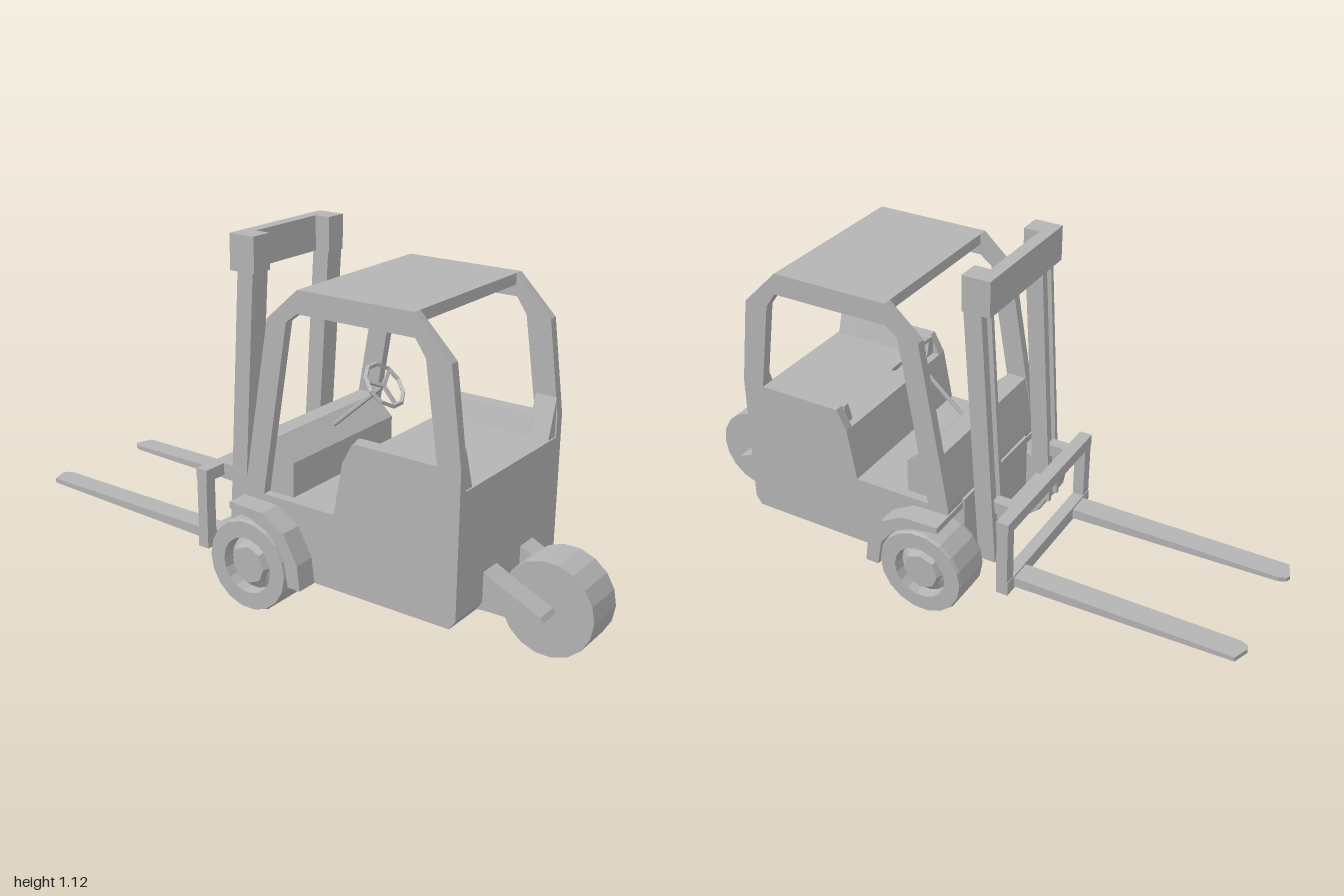
import * as THREE from 'three';

const grey = new THREE.MeshStandardMaterial({ color: 0xb4b4b4 });
grey.name = 'plain grey';
grey.flatShading = true;

const toShape = (pts) => new THREE.Shape(pts.map(([a, b]) => new THREE.Vector2(a, b)));

export function createModel() {
  const model = new THREE.Group();
  model.name = 'forklift';

  const add = (name, geometry, parent = model) => {
    const mesh = new THREE.Mesh(geometry, grey);
    mesh.name = name;
    parent.add(mesh);
    return mesh;
  };
  // box given by its limits
  const box = (name, x0, x1, y0, y1, z0, z1, parent) => {
    const g = new THREE.BoxGeometry(x1 - x0, y1 - y0, z1 - z0);
    g.translate((x0 + x1) / 2, (y0 + y1) / 2, (z0 + z1) / 2);
    return add(name, g, parent);
  };
  // side profile of (z, y) points, extruded from x0 to x1
  const side = (name, pts, x0, x1, hole, parent) => {
    const s = toShape(pts);
    if (hole) s.holes.push(toShape(hole));
    const g = new THREE.ExtrudeGeometry(s, { depth: x1 - x0, bevelEnabled: false });
    g.rotateY(-Math.PI / 2).translate(x1, 0, 0);
    return add(name, g, parent);
  };
  // same, on both sides
  const sides = (name, pts, x0, x1, hole, parent) => {
    side(name + 'Left', pts, x0, x1, hole, parent);
    side(name + 'Right', pts, -x1, -x0, hole, parent);
  };

  // wheel arch and lower edge shared by the hull and the cab sides
  const arch = [[-0.06, 0.34], [0.05, 0.325], [0.12, 0.285], [0.165, 0.21], [0.18, 0.12], [0.67, 0.12], [0.69, 0.15]];

  // hull: rear deck, floor and dashboard in one profile
  side('hull', [...arch, [0.69, 0.53], [0.30, 0.53], [0.27, 0.36], [0.10, 0.36],
    [0.10, 0.47], [0.03, 0.535], [-0.03, 0.535], [-0.062, 0.36]], -0.26, 0.26);
  box('chassis', -0.205, 0.205, 0.12, 0.35, -0.07, 0.25);

  // cab sides with the door opening
  sides('cabSide', [...arch, [0.69, 0.6], [0.65, 0.89], [0.53, 1.01], [0.14, 1.01], [0.03, 0.91], [-0.062, 0.36]],
    0.26, 0.29,
    [[0.615, 0.595], [0.57, 0.89], [0.535, 0.94], [0.14, 0.94], [0.10, 0.91], [0.01, 0.36], [0.27, 0.36], [0.30, 0.53], [0.335, 0.595]]);
  box('roof', -0.26, 0.26, 0.975, 1.01, 0.14, 0.53);

  // sloping inner sills beside the deck and at the rear pillars
  for (const s of [1, -1]) {
    const sill = (name, pts, z0, z1) => {
      const g = new THREE.ExtrudeGeometry(toShape(pts.map(([x, y]) => [s * x, y])), { depth: z1 - z0, bevelEnabled: false });
      add(name, g.translate(0, 0, z0));
    };
    sill('deckSill', [[0.22, 0.53], [0.26, 0.53], [0.26, 0.595], [0.24, 0.595]], 0.325, 0.62);
    sill('pillarSill', [[0.22, 0.53], [0.26, 0.53], [0.26, 0.655]], 0.615, 0.685);
  }

  // fenders over the load wheels
  sides('fender', [[-0.065, 0.34], [-0.065, 0.318], [0.02, 0.305], [0.09, 0.275], [0.14, 0.21], [0.155, 0.12],
    [0.2, 0.12], [0.19, 0.2], [0.14, 0.29], [0.06, 0.335]], 0.2, 0.362);

  // wheels: turned profile of (radius, x) with a recessed hub
  const tyre = (w) => [[0, w - 0.02], [0.06, w - 0.02], [0.085, w - 0.035], [0.09, w], [0.143, w], [0.147, w - 0.01],
    [0.147, 0.01 - w], [0.143, -w], [0, -w]].reverse();
  const wheel = (name, x, z, pts, dir) => {
    const g = new THREE.LatheGeometry(pts.map(([r, h]) => new THREE.Vector2(r, h)), 18);
    g.rotateZ(-dir * Math.PI / 2).translate(x, 0.147, z);
    return add(name, g);
  };
  for (const s of [1, -1]) {
    wheel('loadWheel', s * 0.292, 0, tyre(0.072), s);
    const cap = new THREE.CylinderGeometry(0.06, 0.075, 0.03, 8);
    add('hubCap', cap.rotateZ(-s * Math.PI / 2).translate(s * 0.344, 0.147, 0));
  }
  wheel('steerWheel', 0, 0.855, [[0, -0.07], [0.147, -0.07], [0.147, 0.07], [0, 0.07]], 1);
  sides('steerWheelArm', [[0.66, 0.12], [0.69, 0.125], [0.87, 0.13], [0.885, 0.145], [0.875, 0.16], [0.75, 0.215], [0.69, 0.245], [0.66, 0.245]], 0.07, 0.145);

  // steering wheel on its column
  const steering = new THREE.Group();
  steering.name = 'steering';
  const axis = new THREE.Vector3(0, 0.165, 0.185).normalize();
  steering.position.set(0, 0.675, 0.245);
  steering.quaternion.setFromUnitVectors(new THREE.Vector3(0, 0, 1), axis);
  model.add(steering);
  add('steeringRing', new THREE.TorusGeometry(0.073, 0.008, 4, 10), steering);
  for (let i = 0; i < 3; i++) {
    const g = new THREE.BoxGeometry(0.012, 0.07, 0.008).translate(0, 0.035, -0.005);
    add('steeringSpoke', g.rotateZ(Math.PI + i * Math.PI * 2 / 3), steering);
  }
  add('steeringColumn', new THREE.CylinderGeometry(0.007, 0.007, 0.26, 6).rotateX(Math.PI / 2).translate(0, 0, -0.13), steering);

  // mast: two leaning channels, each a web with two flanges
  const lean = (near, far, y0, y1) => {
    const z = (y, o) => -0.128 + (y - 0.16) * 0.058 - o;
    return [[z(y0, near), y0], [z(y0, far), y0], [z(y1, far), y1], [z(y1, near), y1]];
  };
  sides('mastWeb', lean(0, 0.02, 0.16, 1.05), 0.15, 0.22);
  sides('mastInnerFlange', lean(0.02, 0.058, 0.16, 1.05), 0.15, 0.165);
  sides('mastOuterFlange', lean(0.02, 0.058, 0.16, 1.05), 0.205, 0.22);
  sides('mastInnerRail', lean(0.028, 0.05, 0.16, 1.05), 0.177, 0.193);
  sides('mastHead', [[-0.073, 1.01], [-0.165, 1.01], [-0.165, 1.122], [-0.073, 1.122]], 0.147, 0.22);
  box('mastTopBar', -0.15, 0.15, 1.01, 1.122, -0.165, -0.125);
  box('mastLowerBar', -0.15, 0.15, 0.2, 0.26, -0.165, -0.135);

  // carriage frame
  box('carriageTopBar', -0.285, 0.285, 0.335, 0.375, -0.267, -0.225);
  box('carriageLowerBar', -0.285, 0.285, 0.108, 0.155, -0.267, -0.228);
  for (const s of [1, -1]) {
    const x = s * 0.265;
    box('carriagePost', x - 0.02, x + 0.02, 0.108, 0.375, -0.265, -0.227);
    box('carriageBracket', s * 0.182 - 0.02, s * 0.182 + 0.02, 0.335, 0.375, -0.23, -0.165);
    // forks, thinning toward a clipped tip
    const fork = toShape([[0.165, -0.23], [0.242, -0.23], [0.242, -0.98], [0.19, -1], [0.175, -0.995], [0.165, -0.97]]
      .map(([fx, fz]) => [s * fx, -fz]));
    const g = new THREE.ExtrudeGeometry(fork, { depth: 0.035, bevelEnabled: false });
    g.rotateX(-Math.PI / 2).translate(0, 0.113, 0);
    const p = g.attributes.position;
    for (let i = 0; i < p.count; i++) {
      const t = (-p.getZ(i) - 0.23) / 0.77;
      if (p.getY(i) < 0.13) p.setY(i, 0.113 + 0.02 * t);
    }
    g.computeVertexNormals();
    add('fork', g);
  }

  return model;
}
